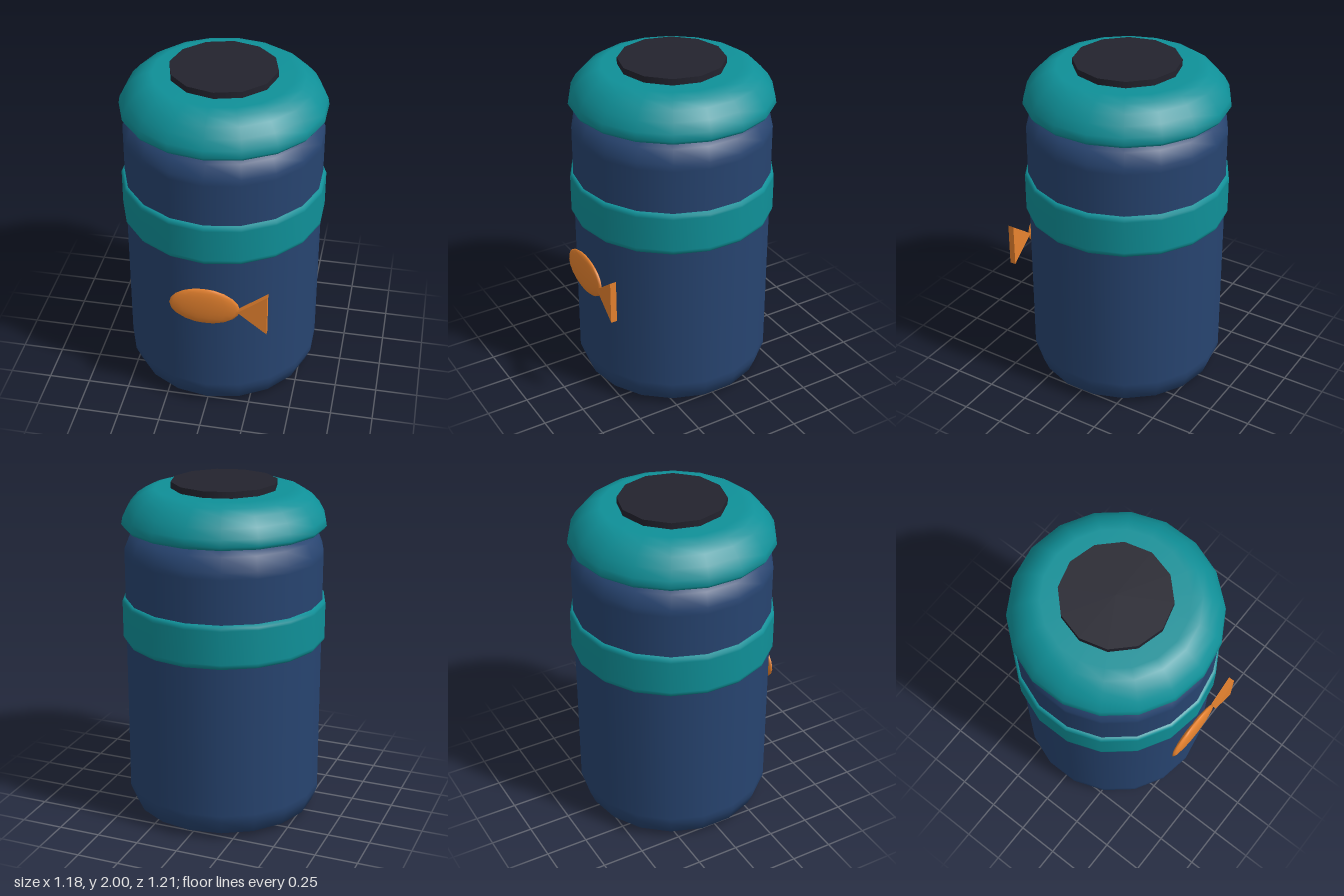
import * as THREE from 'three';

const mat = (name, color) => Object.assign(new THREE.MeshStandardMaterial({ color }), { name });

export function createModel() {
  const navy = mat('navy', 0x274470);
  const teal = mat('teal', 0x0f9098);
  const dark = mat('charcoal', 0x23232e);
  const orange = mat('orange', 0xe8832f);

  const model = new THREE.Group();
  model.name = 'canister';
  const zAxis = -0.0125; // the jar sits slightly back to balance the fish

  const add = (name, geometry, material, x, y, z) => {
    const mesh = new THREE.Mesh(geometry, material);
    mesh.name = name;
    mesh.position.set(x, y, z);
    model.add(mesh);
    return mesh;
  };
  const turned = (profile) =>
    new THREE.LatheGeometry(profile.map(([r, y]) => new THREE.Vector2(r, y)), 18);

  // Jar body with rounded shoulders
  add('body', turned([
    [0, 0], [0.44, 0], [0.465, 0.004], [0.545, 0.036], [0.578, 0.12],
    [0.578, 0.16], [0.578, 1.58], [0.578, 1.62], [0.545, 1.7],
    [0.465, 1.733], [0.44, 1.736], [0, 1.736],
  ]), navy, 0, 0, zAxis);

  // Raised band with small bevels
  add('band', turned([
    [0.56, 1.07], [0.585, 1.07], [0.596, 1.085], [0.597, 1.1],
    [0.597, 1.295], [0.596, 1.31], [0.585, 1.325], [0.56, 1.325],
  ]), teal, 0, 0, zAxis);

  // Domed lid
  add('lid', turned([
    [0, 1.736], [0.54, 1.736], [0.578, 1.745], [0.592, 1.765], [0.585, 1.805],
    [0.555, 1.86], [0.51, 1.91], [0.46, 1.943], [0.4, 1.963], [0, 1.963],
  ]), teal, 0, 0, zAxis);

  // Flat disc on the lid
  add('lidDisc', new THREE.CylinderGeometry(0.307, 0.307, 0.06, 12), dark, 0, 1.97, zAxis);

  // Fish ornament: flattened body and wedge tail
  add('fishBody', new THREE.SphereGeometry(1, 14, 10), orange, 0, 0.772, 0.577)
    .scale.set(0.205, 0.122, 0.026);
  const tail = new THREE.Shape([
    new THREE.Vector2(0.195, 0), new THREE.Vector2(0.364, -0.132), new THREE.Vector2(0.364, 0.132),
  ]);
  add('fishTail', new THREE.ExtrudeGeometry(tail, { depth: 0.037, bevelEnabled: false }),
    orange, 0, 0.773, 0.566);

  return model;
}
